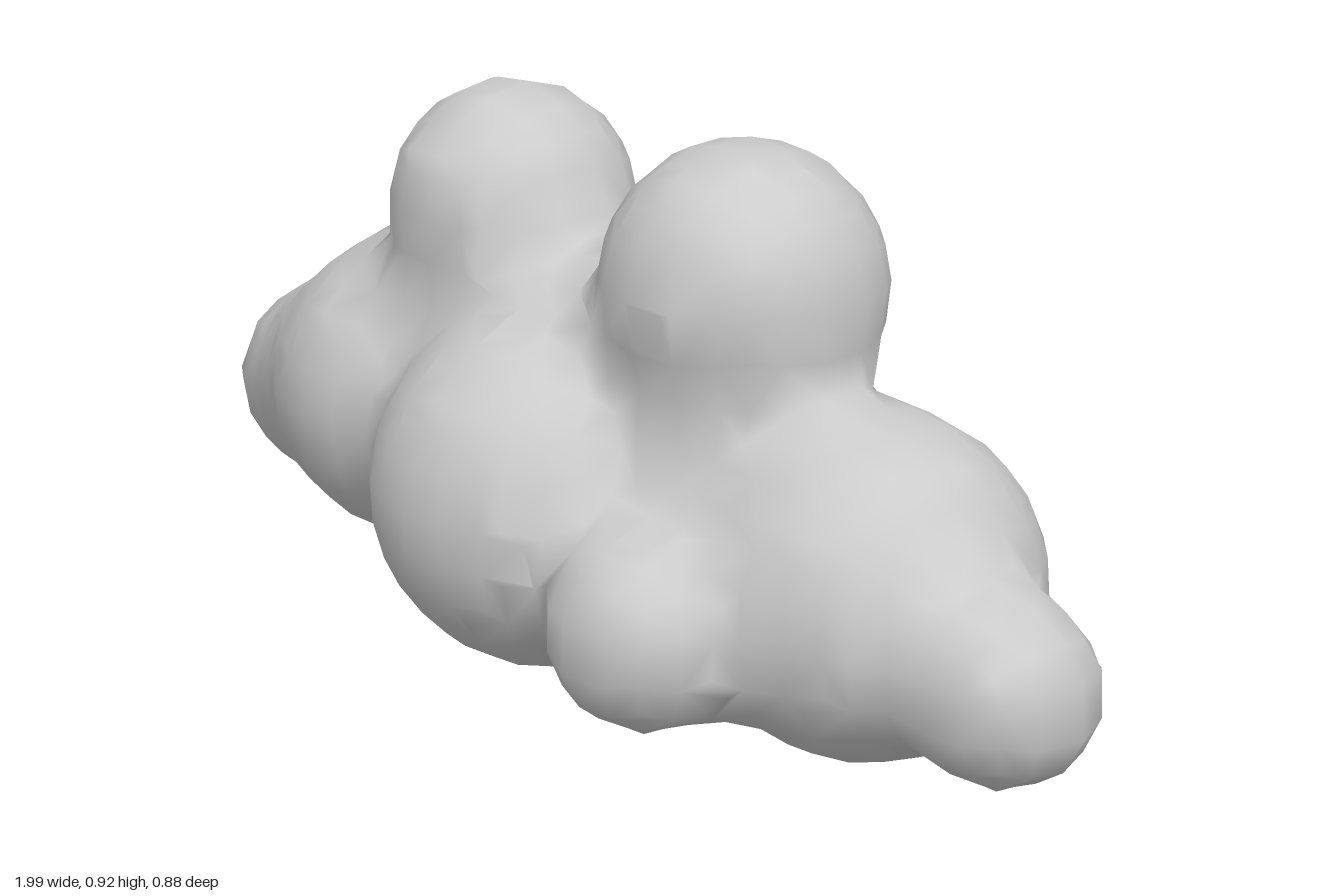
import * as THREE from 'three';

// Puffs of the cloud: x, y, z, radius
const PUFFS = [
  [-0.06, 0.315, 0.13, 0.30], // front middle
  [-0.02, 0.30, -0.13, 0.27], // back middle
  [-0.06, 0.49, 0.00, 0.18],  // core under the two domes
  [0.52, 0.28, 0.00, 0.28],   // left side
  [-0.50, 0.34, 0.00, 0.27],  // right side
  [0.24, 0.70, 0.00, 0.23],   // left dome
  [-0.32, 0.70, -0.02, 0.205],// right dome
  [0.25, 0.44, 0.04, 0.16],   // neck of the left dome
  [-0.32, 0.48, -0.01, 0.15], // neck of the right dome
  [-0.69, 0.29, -0.02, 0.185],// right arm
  [0.85, 0.22, 0.05, 0.15],   // left tip
  [-0.84, 0.25, -0.05, 0.16], // right tip
  [0.32, 0.22, 0.28, 0.16],   // small front puff
  [-0.41, 0.21, -0.29, 0.16], // small back puff
];
const BLEND = 0.1;
const STEP = 0.075;

// Signed distance to the softly blended puffs
function distance(x, y, z) {
  let d = 1e3;
  for (const [cx, cy, cz, r] of PUFFS) {
    const s = Math.hypot(x - cx, y - cy, z - cz) - r;
    const h = Math.max(BLEND - Math.abs(d - s), 0) / BLEND;
    d = Math.min(d, s) - h * h * BLEND / 4;
  }
  return d;
}

function gradient(p) {
  const e = 0.01;
  return new THREE.Vector3(
    distance(p.x + e, p.y, p.z) - distance(p.x - e, p.y, p.z),
    distance(p.x, p.y + e, p.z) - distance(p.x, p.y - e, p.z),
    distance(p.x, p.y, p.z + e) - distance(p.x, p.y, p.z - e)
  ).divideScalar(2 * e);
}

// Skin over the blended puffs: one vertex per crossed cell, one quad per crossed edge
function cloudGeometry() {
  const min = [-1.17, -0.15, -0.6];
  const n = [32, 18, 17];
  const at = (i, a) => min[a] + i * STEP;
  const key = (c) => (c[2] * n[1] + c[1]) * n[0] + c[0];
  const values = [];
  for (let k = 0; k < n[2]; k++)
    for (let j = 0; j < n[1]; j++)
      for (let i = 0; i < n[0]; i++) values.push(distance(at(i, 0), at(j, 1), at(k, 2)));

  const positions = [], indices = [], ids = new Map();
  const vertex = (c) => {
    const id = key(c);
    if (!ids.has(id)) {
      // Pull the cell centre onto the surface
      const p = new THREE.Vector3(...c.map((i, a) => at(i + 0.5, a)));
      for (let s = 0; s < 5; s++) {
        const g = gradient(p);
        p.addScaledVector(g, -distance(p.x, p.y, p.z) / Math.max(g.lengthSq(), 0.3));
      }
      ids.set(id, positions.length / 3);
      positions.push(p.x, p.y, p.z);
    }
    return ids.get(id);
  };

  for (let k = 1; k < n[2] - 1; k++)
    for (let j = 1; j < n[1] - 1; j++)
      for (let i = 1; i < n[0] - 1; i++)
        for (let a = 0; a < 3; a++) {
          const c = [i, j, k], next = [i, j, k];
          next[a]++;
          const inside = values[key(c)] < 0;
          if (inside === values[key(next)] < 0) continue;
          const b = (a + 1) % 3, d = (a + 2) % 3;
          const quad = [[1, 1], [0, 1], [0, 0], [1, 0]].map(([u, v]) => {
            const cell = [i, j, k];
            cell[b] -= u;
            cell[d] -= v;
            return vertex(cell);
          });
          if (!inside) quad.reverse();
          indices.push(quad[0], quad[1], quad[2], quad[0], quad[2], quad[3]);
        }

  const geometry = new THREE.BufferGeometry();
  geometry.setAttribute('position', new THREE.Float32BufferAttribute(positions, 3));
  geometry.setIndex(indices);
  geometry.computeVertexNormals();
  return geometry;
}

export function createModel() {
  const group = new THREE.Group();
  group.name = 'cloud';
  const body = new THREE.Mesh(cloudGeometry(), new THREE.MeshStandardMaterial({ color: 0xcccccc }));
  body.name = 'cloudBody';
  group.add(body);
  return group;
}
